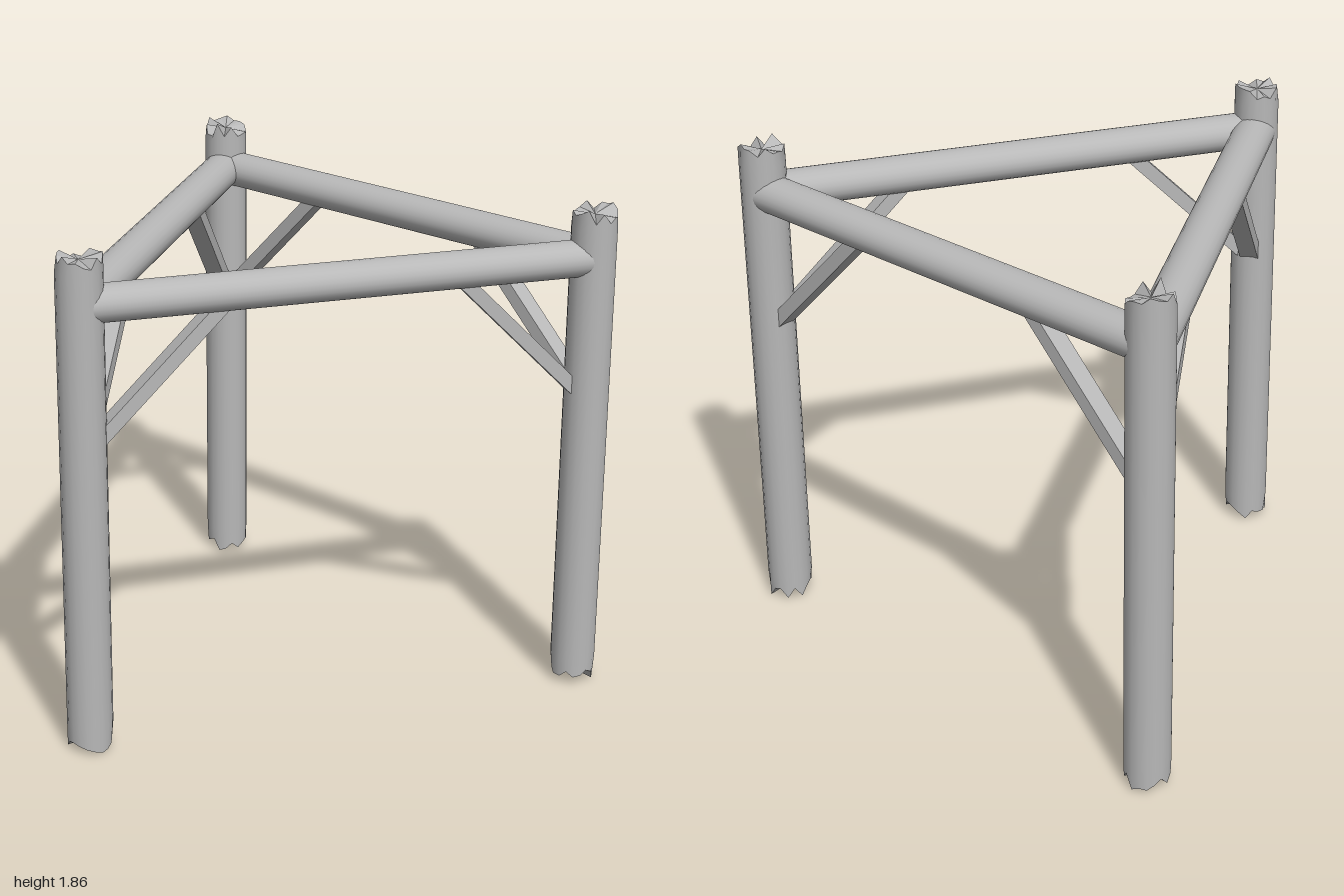
import * as THREE from 'three';

const POST_R = 0.083, SIDES = 18, TOP = 1.83, BOTTOM = 0.03;
const BEAM_Y = 1.665, BEAM_H = 0.067, BEAM_W = 0.078;

// Small seeded generator for the broken log ends
function seeded(seed) {
  let s = seed;
  return () => (s = (s * 16807) % 2147483647) / 2147483647;
}

// Flat-shaded fan closing a ragged rim
function fan(rim, centre, up) {
  const pts = [];
  rim.forEach((p, i) => {
    const q = rim[(i + 1) % rim.length];
    pts.push(centre, ...(up ? [p, q] : [q, p]));
  });
  const geo = new THREE.BufferGeometry().setFromPoints(pts);
  geo.computeVertexNormals();
  return geo;
}

// Upright log with splintered top and bottom
function makePost(material, seed) {
  const rand = seeded(seed);
  const post = new THREE.Group();
  post.name = 'post';
  const rows = [TOP, TOP - 0.05, 0.1, BOTTOM];
  const body = new THREE.CylinderGeometry(POST_R, POST_R, 1, SIDES, 3, true);
  const pos = body.attributes.position;
  const rims = [[], []];
  for (let i = 0; i < SIDES; i++) {
    const a = (i / SIDES) * Math.PI * 2;
    [TOP, BOTTOM].forEach((y, k) => {
      const r = POST_R * (0.9 + 0.1 * rand());
      const dy = (rand() - 0.5) * 0.056;
      rims[k].push(new THREE.Vector3(Math.sin(a) * r, y + dy, Math.cos(a) * r));
    });
  }
  for (let i = 0; i < pos.count; i++) {
    const row = Math.floor(i / (SIDES + 1)), col = (i % (SIDES + 1)) % SIDES;
    if (row === 0 || row === 3) {
      const p = rims[row ? 1 : 0][col];
      pos.setXYZ(i, p.x, p.y, p.z);
    } else pos.setY(i, rows[row]);
  }
  const parts = {
    postBody: body,
    postTop: fan(rims[0], new THREE.Vector3(0, TOP - 0.005, 0), true),
    postFoot: fan(rims[1], new THREE.Vector3(0, BOTTOM + 0.005, 0), false),
  };
  for (const [name, geo] of Object.entries(parts)) {
    const mesh = new THREE.Mesh(geo, material);
    mesh.name = name;
    post.add(mesh);
  }
  return post;
}

export function createModel() {
  const model = new THREE.Group();
  model.name = 'triangularLogFrame';
  const wood = new THREE.MeshStandardMaterial({ color: 0xb8b8b8 });
  wood.name = 'greyWood';

  const corners = [
    new THREE.Vector3(-0.915, 0, -0.822),
    new THREE.Vector3(0, 0, 0.822),
    new THREE.Vector3(0.915, 0, -0.822),
  ];

  corners.forEach((from, i) => {
    const to = corners[(i + 1) % 3];
    const length = from.distanceTo(to);

    const post = makePost(wood, 137 + i * 911);
    post.position.copy(from);
    model.add(post);

    // One side of the triangle, running along local z
    const side = new THREE.Group();
    side.name = 'side';
    side.position.copy(from);
    side.lookAt(to);
    model.add(side);

    const beamGeo = new THREE.CylinderGeometry(BEAM_H, BEAM_H, length, 24);
    beamGeo.rotateX(Math.PI / 2).scale(BEAM_W / BEAM_H, 1, 1);
    const beam = new THREE.Mesh(beamGeo, wood);
    beam.name = 'beam';
    beam.position.set(0, BEAM_Y, length / 2);
    side.add(beam);

    // Diagonal braces, mirrored at both ends of the beam
    for (const end of [0, 1]) {
      const brace = new THREE.Mesh(new THREE.BoxGeometry(0.07, 0.05, 0.67), wood);
      brace.name = 'brace';
      brace.position.set(0, 1.4, end ? length - 0.275 : 0.275);
      brace.rotation.x = (end ? 1 : -1) * Math.PI / 4;
      side.add(brace);
    }
  });
  return model;
}
